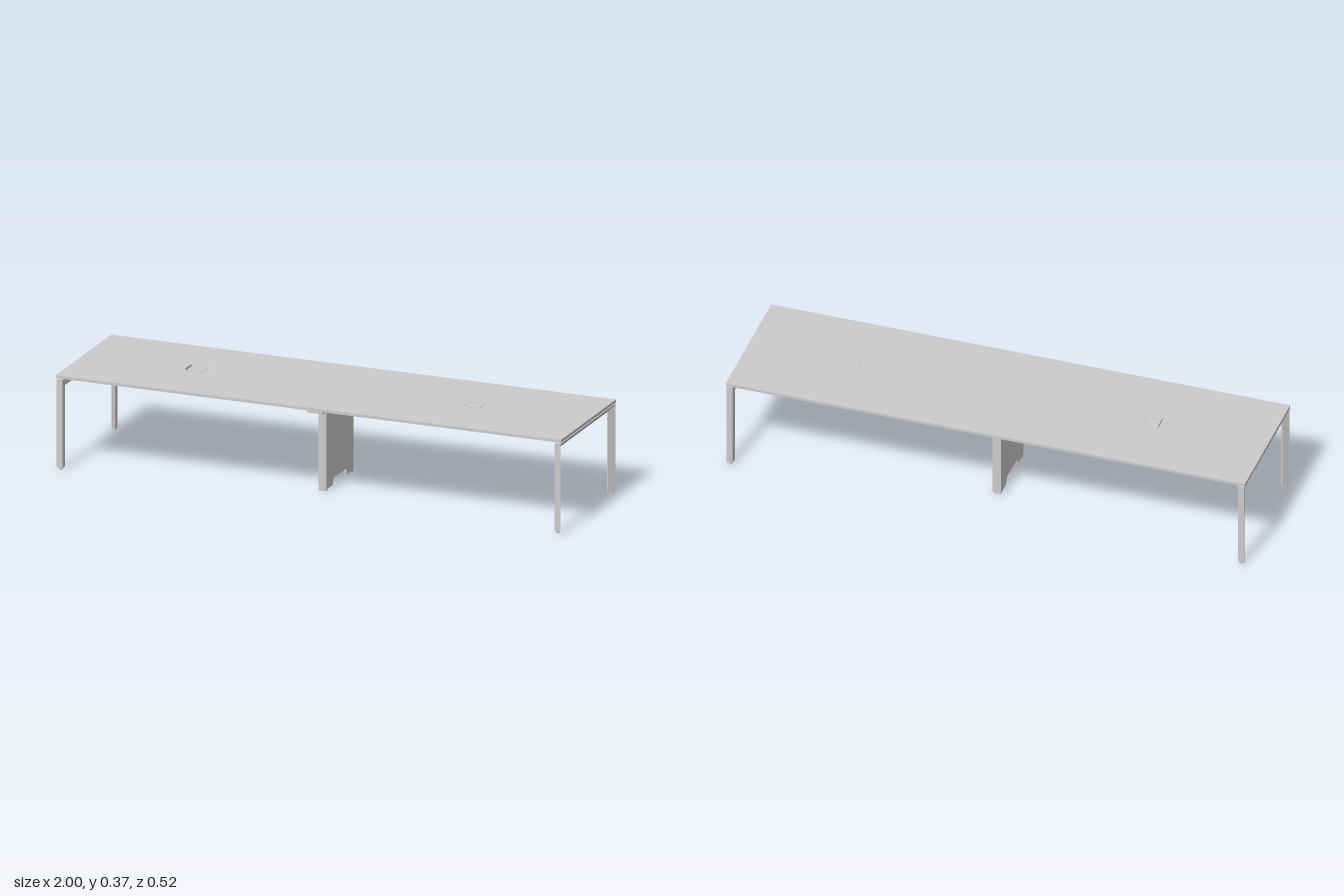
import * as THREE from 'three';

const material = new THREE.MeshStandardMaterial({ color: 0xcccccc, flatShading: true, side: THREE.DoubleSide });

function add(parent, name, geometry, x = 0, y = 0, z = 0) {
  const mesh = new THREE.Mesh(geometry, material);
  mesh.name = name;
  mesh.position.set(x, y, z);
  parent.add(mesh);
  return mesh;
}

// Box given by its limits on each axis
function block(parent, name, [x0, x1], [y0, y1], [z0, z1]) {
  return add(parent, name, new THREE.BoxGeometry(x1 - x0, y1 - y0, z1 - z0),
    (x0 + x1) / 2, (y0 + y1) / 2, (z0 + z1) / 2);
}

// Closed section [x, inset] swept along an upside-down U with mitred corners
function frameGeometry(section, bottom, top, halfDepth) {
  const rings = [[bottom, 1], [top, 1], [top, -1], [bottom, -1]].map(([y, side]) =>
    section.map(([x, d]) => [x, y === top ? top - d : y, side * (halfDepth - d)]));
  const n = section.length, out = [];
  const tri = (a, b, c) => out.push(...a, ...b, ...c);
  for (let r = 0; r < 3; r++) {
    for (let i = 0; i < n; i++) {
      const j = (i + 1) % n, a = rings[r], b = rings[r + 1];
      tri(a[i], a[j], b[j]);
      tri(a[i], b[j], b[i]);
    }
  }
  for (let i = 1; i < n - 1; i++) {
    tri(rings[0][0], rings[0][i + 1], rings[0][i]);
    tri(rings[3][0], rings[3][i], rings[3][i + 1]);
  }
  const geometry = new THREE.BufferGeometry();
  geometry.setAttribute('position', new THREE.Float32BufferAttribute(out, 3));
  geometry.computeVertexNormals();
  return geometry;
}

// Leg frame at one end, with levelling feet
function endFrame(side) {
  const group = new THREE.Group();
  group.name = 'endFrame';
  const section = [[0.974, 0], [0.998, 0], [0.998, 0.003], [0.978, 0.026], [0.974, 0.026]];
  add(group, 'legFrame', frameGeometry(section, 0.008, 0.345, 0.262));
  for (const z of [-0.253, 0.253]) {
    add(group, 'foot', new THREE.CylinderGeometry(0.007, 0.007, 0.008, 16), 0.984, 0.004, z);
  }
  group.scale.x = side;
  return group;
}

// Hollow middle support: two cut-out sheets closed by end flanges
function middleSupport() {
  const group = new THREE.Group();
  group.name = 'middleSupport';
  const half = [[0.129, 0.008], [0.129, 0.32], [0.082, 0.32], [0.063, 0.277]];
  const lower = [[0.06, 0.034], [0.072, 0.008]];
  const flip = (points) => points.map(([z, y]) => [-z, y]).reverse();
  const outline = [...half, ...flip(half), ...flip(lower), ...lower];
  const shape = new THREE.Shape(outline.map(([z, y]) => new THREE.Vector2(z, y)));
  const sheet = new THREE.ExtrudeGeometry(shape, { depth: 0.002, bevelEnabled: false });
  sheet.translate(0, 0, -0.001).rotateY(-Math.PI / 2);
  for (const side of [-1, 1]) {
    add(group, 'panelSheet', sheet, side * 0.015, 0, 0);
    block(group, 'panelFlange', [-0.016, 0.016], [0.008, 0.32],
      side > 0 ? [0.126, 0.129] : [-0.129, -0.126]);
    block(group, 'supportFoot', [-0.014, 0.014], [0.002, 0.01],
      side > 0 ? [0.112, 0.128] : [-0.128, -0.112]);
  }
  // Cross beam carrying the rails
  block(group, 'middleBeam', [-0.031, 0.031], [0.32, 0.348], [-0.2, 0.2]);
  return group;
}

// Cable box hanging under the top, with a rim and a raised flap
function powerBox(x) {
  const group = new THREE.Group();
  group.name = 'powerBox';
  block(group, 'cableBox', [-0.034, 0.034], [0.27, 0.35], [-0.034, 0.034]);
  const rim = [
    [[-0.034, -0.03], [-0.034, 0.03]], [[0.026, 0.03], [-0.034, 0.03]],
    [[-0.03, 0.026], [-0.034, -0.03]], [[-0.03, 0.026], [0.026, 0.03]],
  ];
  for (const [xs, zs] of rim) block(group, 'rim', xs, [0.359, 0.362], zs);
  block(group, 'socketStrip', [-0.016, 0.02], [0.359, 0.3612], [0.004, 0.016]);
  if (x < 0) {
    const flap = new THREE.Shape([[-0.03, 0], [0.03, 0], [0.027, 0.009], [-0.027, 0.009]]
      .map(([z, y]) => new THREE.Vector2(z, y)));
    const geometry = new THREE.ExtrudeGeometry(flap, { depth: 0.003, bevelEnabled: false });
    add(group, 'flap', geometry.rotateY(-Math.PI / 2), -0.031, 0.361, 0);
    block(group, 'hingeStrip', [0.036, 0.041], [0.359, 0.3615], [-0.039, 0.036]);
  }
  group.position.x = x;
  return group;
}

export function createModel() {
  const model = new THREE.Group();
  model.name = 'conferenceTable';
  block(model, 'tableTop', [-1, 1], [0.35, 0.361], [-0.262, 0.262]);
  model.add(endFrame(1), endFrame(-1), middleSupport(), powerBox(-0.553), powerBox(0.549));

  // Long rails
  for (const z of [-0.18, 0.18]) {
    block(model, 'rail', [-0.975, 0.975], [0.331, 0.345], [z - 0.009, z + 0.009]);
  }
  // Cross bars and their brackets and spacers
  for (const x of [-0.908, -0.1, 0.1, 0.908]) {
    block(model, 'crossBar', [x - 0.012, x + 0.012], [0.337, 0.35], [-0.13, 0.13]);
    for (const z of [-0.18, 0.18]) {
      block(model, 'railBracket', [x - 0.012, x + 0.012], [0.333, 0.35], [z - 0.024, z + 0.024]);
    }
  }
  // Pads between the end frames and the top
  for (const x of [-0.984, 0.984]) {
    for (const z of [-0.23, 0.23]) {
      block(model, 'topPad', [x - 0.008, x + 0.008], [0.344, 0.351], [z - 0.008, z + 0.008]);
    }
  }
  return model;
}
